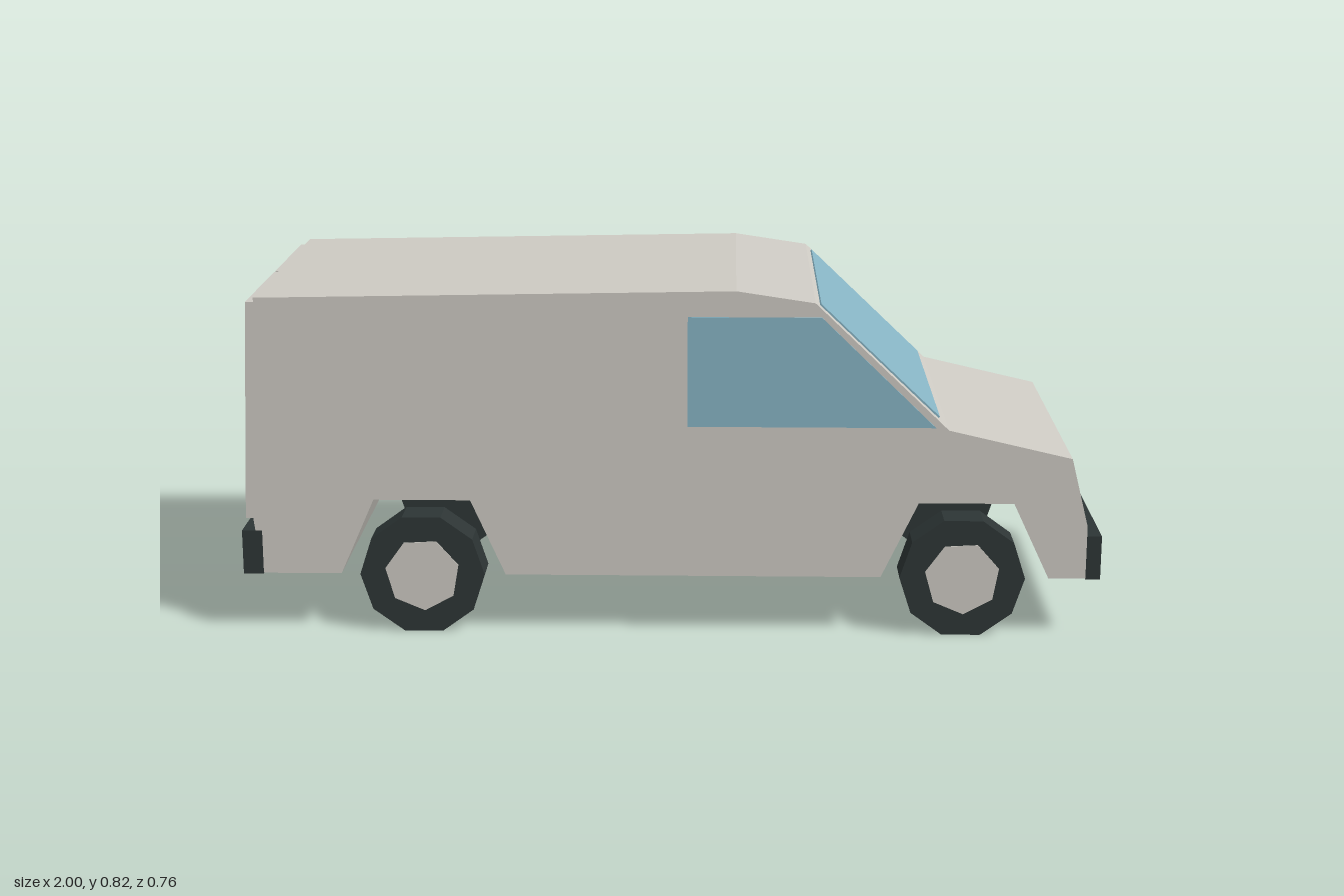
import * as THREE from 'three';

const paint = (name, color) => {
  const m = new THREE.MeshStandardMaterial({ color });
  m.name = name;
  return m;
};

export function createModel() {
  const body = paint('body grey', 0xcdcac3);
  const glass = paint('window blue', 0x87b4c4);
  const rubber = paint('dark rubber', 0x2d3535);
  const van = new THREE.Group();
  van.name = 'van';

  const add = (name, geometry, material, parent = van) => {
    const mesh = new THREE.Mesh(geometry, material);
    mesh.name = name;
    parent.add(mesh);
    return mesh;
  };

  // Side profile in x and y, extruded from z0 to z1
  const slab = (name, points, z0, z1, material, parent) => {
    const shape = new THREE.Shape(points.map(([x, y]) => new THREE.Vector2(x, y)));
    const g = new THREE.ExtrudeGeometry(shape, { depth: z1 - z0, bevelEnabled: false });
    g.translate(0, 0, z0);
    return add(name, g, material, parent);
  };

  // Shell with wheel arches cut right across
  slab('bodyShell', [
    [-0.95, 0.797], [-0.972, 0.27], [-0.955, 0.14], [-0.77, 0.14], [-0.69, 0.32],
    [-0.465, 0.32], [-0.385, 0.14], [0.49, 0.14], [0.575, 0.32], [0.795, 0.32],
    [0.88, 0.14], [0.97, 0.14], [0.965, 0.27], [0.925, 0.428], [0.64, 0.494],
    [0.33, 0.79], [0.15, 0.817],
  ], -0.379, 0.379, body);

  // Windscreen, lying on the sloped front
  slab('windscreen', [[0.34, 0.778], [0.617, 0.514], [0.621, 0.518], [0.344, 0.782]],
    -0.345, 0.345, glass);

  // Bumpers
  slab('frontBumper', [[0.966, 0.138], [1, 0.138], [1, 0.243], [0.966, 0.243]], -0.38, 0.38, rubber);
  slab('rearBumper', [[-1, 0.138], [-0.953, 0.138], [-0.953, 0.243], [-1, 0.243]], -0.38, 0.38, rubber);

  // Outer face of the rear doors leans with height
  const doorX = (y) => -0.992 + (y - 0.27) * 0.041;

  for (const s of [1, -1]) {
    const side = s > 0 ? 'left' : 'right';
    const span = (a, b) => (s > 0 ? [a, b] : [-b, -a]);

    // Cab side window
    slab(side + 'SideWindow', [[0.04, 0.5], [0.61, 0.5], [0.345, 0.757], [0.04, 0.757]],
      ...span(0.376, 0.381), glass);

    // Rear door with its window
    const door = new THREE.Group();
    door.name = side + 'RearDoor';
    van.add(door);
    slab('doorPanel', [
      [doorX(0.27), 0.27], [doorX(0.27) + 0.025, 0.27],
      [doorX(0.785) + 0.025, 0.785], [doorX(0.785), 0.785],
    ], ...span(0.006, 0.368), body, door);
    slab('doorWindow', [
      [doorX(0.515) - 0.002, 0.515], [doorX(0.515) + 0.003, 0.515],
      [doorX(0.72) + 0.003, 0.72], [doorX(0.72) - 0.002, 0.72],
    ], ...span(0.025, 0.318), glass, door);

    // Wheels: ten-sided tyre, seven-sided hub on the outside
    for (const [end, x] of [['Rear', -0.58], ['Front', 0.68]]) {
      const wheel = new THREE.Group();
      wheel.name = side + end + 'Wheel';
      wheel.position.set(x, 0.139, s * 0.337);
      van.add(wheel);
      const disc = (name, r, depth, sides, turn, z, material) => {
        const g = new THREE.CylinderGeometry(r, r, depth, sides).toNonIndexed();
        g.computeVertexNormals();
        g.rotateY(turn).rotateX(Math.PI / 2).translate(0, 0, z);
        return add(name, g, material, wheel);
      };
      disc('tyre', 0.146, 0.086, 10, Math.PI / 2, 0, rubber);
      disc('hub', 0.088, 0.006, 7, 0.05, s * 0.042, body);
    }
  }
  return van;
}
